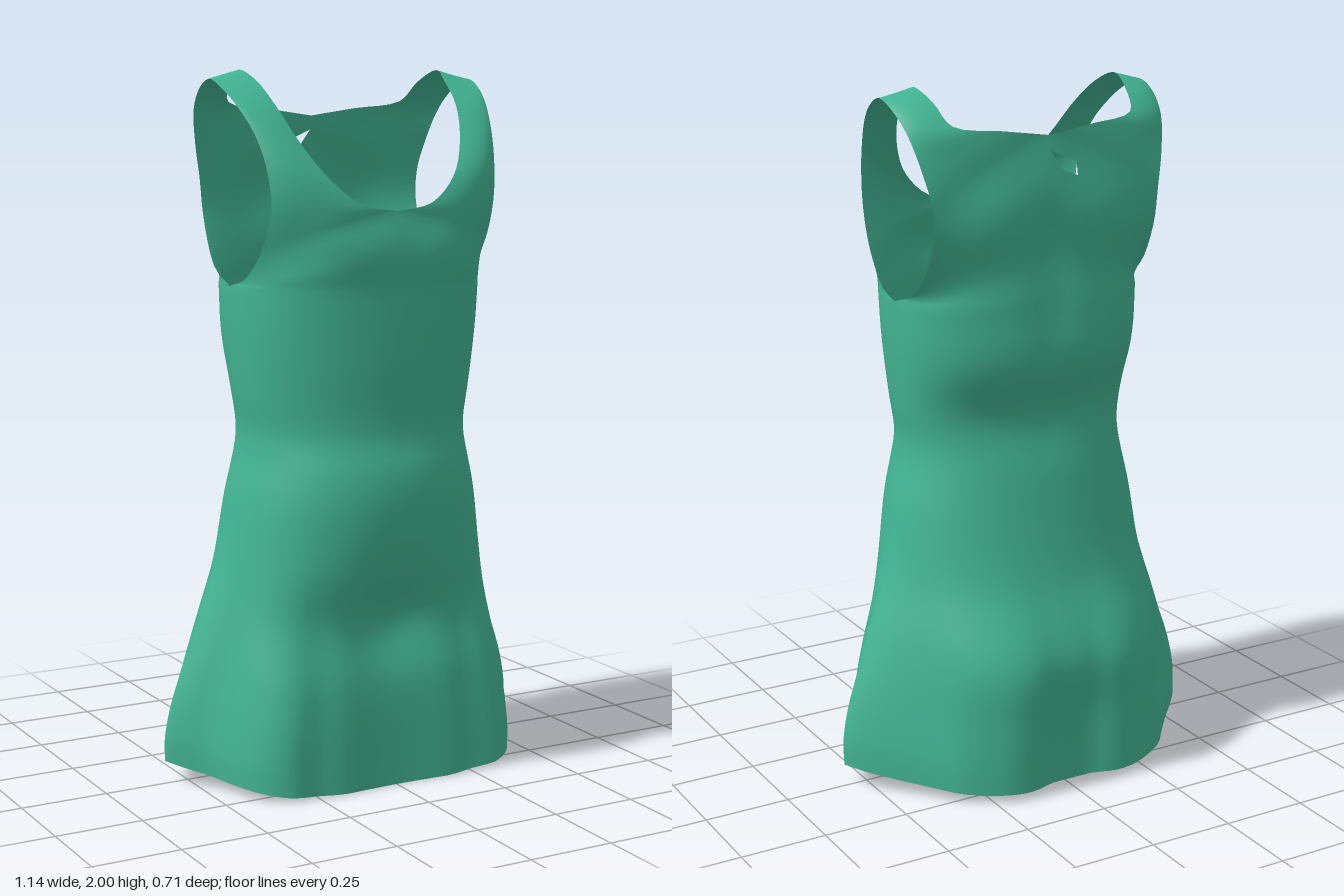
import * as THREE from 'three';
import { mergeGeometries, mergeVertices } from 'three/addons/utils/BufferGeometryUtils.js';

const COLS = 20;       // columns from the centre line to the side
const SEAM = 1.41;     // height of the underarm, where skirt body meets bodice
const ARM_Z = .03;     // z of the underarm point

// smooth lookup through [y, value] pairs
function curve(pairs) {
  const n = pairs.length;
  const slope = i => {
    const a = pairs[Math.max(i - 1, 0)], b = pairs[Math.min(i + 1, n - 1)];
    return (b[1] - a[1]) / (b[0] - a[0]);
  };
  return y => {
    let i = 0;
    while (i < n - 2 && y > pairs[i + 1][0]) i++;
    const [y0, v0] = pairs[i], [y1, v1] = pairs[i + 1], h = y1 - y0;
    const t = Math.min(Math.max((y - y0) / h, 0), 1), t2 = t * t, t3 = t2 * t;
    return (2 * t3 - 3 * t2 + 1) * v0 + (t3 - 2 * t2 + t) * h * slope(i)
      + (3 * t2 - 2 * t3) * v1 + (t3 - t2) * h * slope(i + 1);
  };
}
const spline = pts => new THREE.CatmullRomCurve3(pts.map(p => new THREE.Vector3(...p)));

// body outline by height: half width, front, back, and z of the side line
const width = curve([[0, .57], [.08, .57], [.2, .545], [.4, .475], [.6, .405], [.8, .365], [.96, .335], [1.1, .35], [1.28, .365], [SEAM, .369]]);
const front = curve([[0, .332], [.3, .322], [.47, .302], [.62, .332], [.8, .353], [.9, .347], [1, .322], [1.2, .328], [SEAM, .33]]);
const back = curve([[0, -.342], [.2, -.345], [.38, -.352], [.6, -.265], [.9, -.2], [1.07, -.167], [1.24, -.22], [SEAM, -.212]]);
const sideZ = curve([[0, 0], [.5, .02], [1, .04], [SEAM, ARM_Z]]);
const squareFront = curve([[0, 2.4], [.5, 2.35], [1, 2.2], [SEAM, 2.6]]);
const squareBack = curve([[0, 1.9], [.5, 2.05], [1.05, 2.3], [SEAM, 2.6]]);

// folded hem outline from centre to side, as shares of width and depth
const hemFront = spline([[0, 0, .975], [.17, 0, .985], [.31, 0, 1.005], [.44, 0, .97], [.58, 0, .975], [.69, 0, .86], [.77, 0, .66], [.855, 0, .31], [.93, 0, .16], [1, 0, 0]]);
const hemBack = spline([[0, 0, .95], [.12, 0, .955], [.23, 0, 1.01], [.32, 0, 1.01], [.42, 0, .96], [.58, 0, .81], [.67, 0, .64], [.77, 0, .45], [.93, 0, .17], [1, 0, 0]]);

// soft hollows and swellings: [x, y, spread x, spread y, outward depth]
const frontFolds = [
  [0, .47, .12, .13, -.032], [0, 1.53, .09, .1, -.006],
  [.2, 1.55, .09, .06, .012], [-.2, 1.55, .09, .06, .012],
];
const backFolds = [
  [0, 1.4, .06, .25, -.01], [.18, 1.64, .1, .14, .01], [-.18, 1.64, .1, .14, .01],
];
function fold(p) {
  const weight = Math.min(Math.abs(p.z) / .2, 1), out = Math.sign(p.z);
  for (const [x, y, sx, sy, d] of p.z > 0 ? frontFolds : backFolds)
    p.z += out * weight * d * Math.exp(-(((p.x - x) / sx) ** 2) - ((p.y - y) / sy) ** 2);
  return p;
}

// rounded cross-section from centre point a to b; end is the share of depth left at b
function across(a, b, s, power, end) {
  const last = Math.acos(end ** (power / 2)), angle = s * last;
  const u = (Math.sin(angle) / Math.sin(last)) ** (2 / power);
  const w = s === 1 ? 0 : (Math.cos(angle) ** (2 / power) - end) / (1 - end);
  return new THREE.Vector3(a.x + (b.x - a.x) * u, a.y + (b.y - a.y) * u, b.z + (a.z - b.z) * w);
}

// grid patch; skip(i, j) may return 1 (half a cell) or 2 (a whole cell) to leave open
function patch(rows, point, flip, skip = () => 0) {
  const pos = [], index = [];
  for (let i = 0; i <= rows; i++)
    for (let j = 0; j <= COLS; j++) pos.push(...fold(point(i / rows, j / COLS)).toArray());
  const tri = (a, b, c) => flip ? index.push(a, c, b) : index.push(a, b, c);
  for (let i = 0; i < rows; i++)
    for (let j = 0; j < COLS; j++) {
      const a = i * (COLS + 1) + j, b = a + 1, c = a + COLS + 1, d = c + 1, open = skip(i, j);
      if (open < 1) tri(a, b, d);
      if (open < 2) tri(a, d, c);
    }
  const g = new THREE.BufferGeometry();
  g.setAttribute('position', new THREE.Float32BufferAttribute(pos, 3));
  g.setIndex(index);
  return g;
}

// quarter of the closed body below the arms, with the hem rising to the sides
function bodyQuarter(side, isFront) {
  return patch(48, (t, s) => {
    const y = t * SEAM, depth = isFront ? front(y) : back(y);
    const a = new THREE.Vector3(0, y, depth);
    const b = new THREE.Vector3(side * width(y), y, sideZ(y));
    const p = across(a, b, s, isFront ? squareFront(y) : squareBack(y), 0);
    // skirt folds fade out towards the waist
    const h = (isFront ? hemFront : hemBack).getPoint(s);
    const folded = new THREE.Vector3(b.x * h.x, y, b.z + (depth - b.z) * h.z);
    p.lerp(folded, 1 - THREE.MathUtils.smoothstep(y, .1, .78));
    const reach = Math.abs(p.x / b.x);
    p.y += (1 - t) * (isFront ? .004 + .066 * reach ** 3 : .026 + .044 * reach ** 3);
    return p;
  }, (side > 0) !== isFront);
}

// paired edges from front underarm over the shoulder to back underarm;
// the neck edge runs up the centre front, round the neckline and down the centre back
const neckEdge = [
  [[0, SEAM, .33], [0, 1.53, .338], [0, 1.62, .318]],
  [[0, 1.62, .318], [.11, 1.64, .314], [.195, 1.71, .288], [.25, 1.8, .232], [.285, 1.9, .155],
    [.3, 1.97, .065], [.317, 2, -.005], [.303, 1.965, -.09], [.28, 1.91, -.15], [.14, 1.89, -.175], [0, 1.87, -.18]],
  [[0, 1.87, -.18], [0, 1.71, -.203], [0, 1.55, -.198], [0, SEAM, -.212]],
].map(spline);
const armEdge = spline([
  [.369, SEAM, ARM_Z], [.363, 1.435, .115], [.355, 1.525, .205], [.352, 1.64, .25], [.36, 1.74, .24],
  [.375, 1.83, .2], [.398, 1.91, .13], [.412, 1.955, .065], [.415, 1.975, .01], [.412, 1.95, -.06],
  [.4, 1.89, -.125], [.377, 1.79, -.165], [.358, 1.7, -.18], [.353, 1.59, -.168], [.36, 1.46, -.09], [.369, SEAM, ARM_Z],
]);
function neckPoint(t) {
  const k = t * 15;
  if (k <= 2) return neckEdge[0].getPoint(k / 2);
  return k <= 12 ? neckEdge[1].getPoint((k - 2) / 10) : neckEdge[2].getPoint((k - 12) / 3);
}
function bodiceHalf(side) {
  // small three-cornered opening below the back neckline
  const hole = (i, j) => side < 0 && i === 49 ? [1, 2, 2, 0][Math.min(j, 3)] : 0;
  return patch(60, (t, s) => {
    const a = neckPoint(t), b = armEdge.getPoint(t);
    const end = Math.abs(b.z - ARM_Z) / Math.max(Math.abs(a.z - ARM_Z), .001);
    const p = across(a, b, s, 2.6, Math.min(end, .93));
    p.x *= side;
    return p;
  }, side < 0, hole);
}

export function createModel() {
  const cloth = new THREE.MeshStandardMaterial({ color: 0x42b493, side: THREE.DoubleSide });
  cloth.name = 'greenCloth';

  // all panels joined so that the cloth shades smoothly across seams
  const panels = [];
  for (const side of [1, -1])
    panels.push(bodyQuarter(side, true), bodyQuarter(side, false), bodiceHalf(side));
  const geometry = mergeVertices(mergeGeometries(panels), 1e-4);
  geometry.computeVertexNormals();

  const dress = new THREE.Mesh(geometry, cloth);
  dress.name = 'dress';
  const group = new THREE.Group();
  group.name = 'sleevelessDress';
  group.add(dress);
  return group;
}
